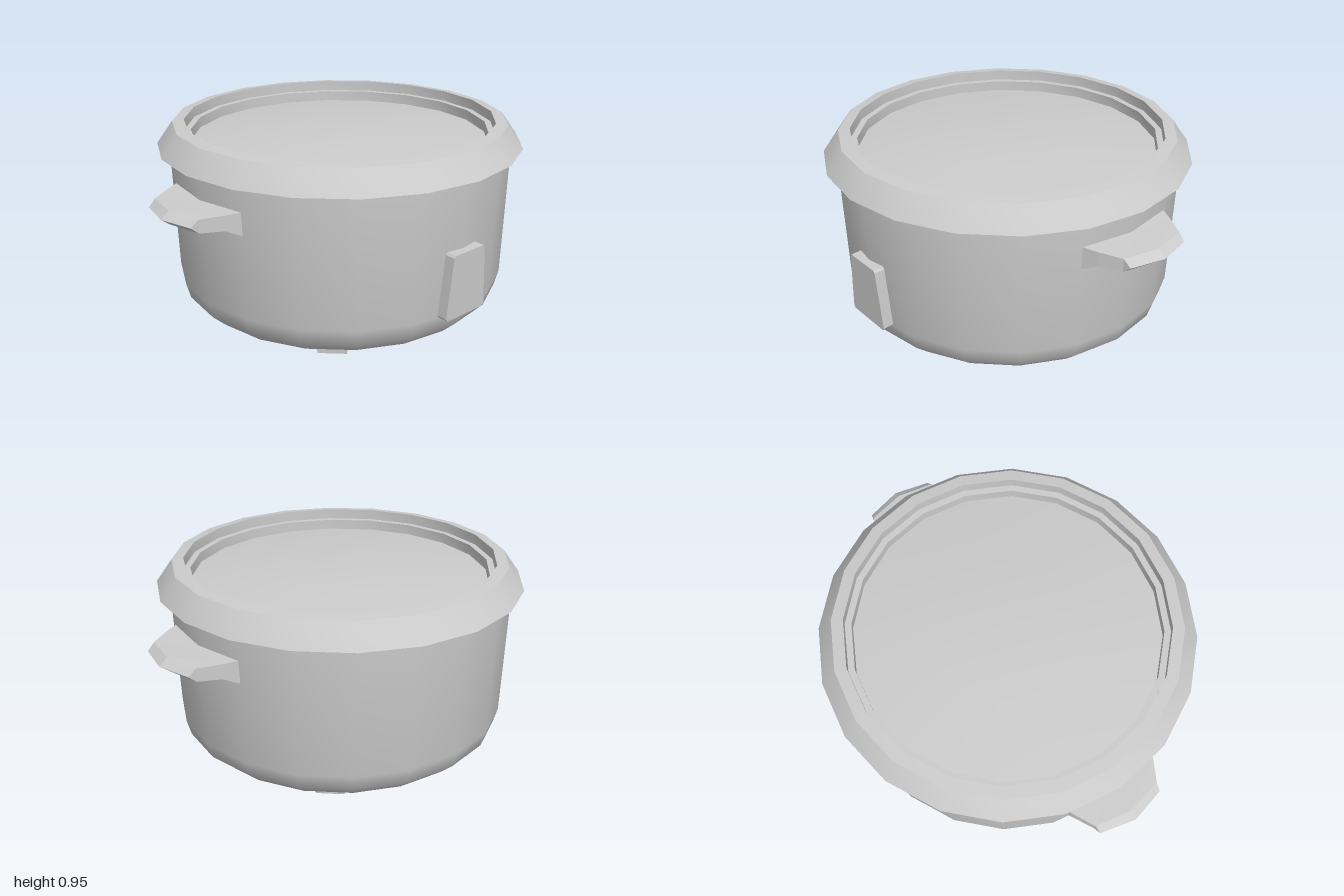
import * as THREE from 'three';
import { toCreasedNormals } from 'three/addons/utils/BufferGeometryUtils.js';

const SIDES = 20;
const grey = new THREE.MeshStandardMaterial({ color: 0xcccccc });

function addMesh(parent, name, geometry) {
  const mesh = new THREE.Mesh(geometry, grey);
  mesh.name = name;
  parent.add(mesh);
  return mesh;
}

// Turned part from [radius, height] pairs, listed from the bottom up
function turned(profile) {
  const points = profile.map(([r, y]) => new THREE.Vector2(r, y));
  return toCreasedNormals(new THREE.LatheGeometry(points, SIDES), 0.69);
}

// Solid grip: layers going outward, each a ring of six corners that bows at the middle
function handleGeometry() {
  const layers = [
    // end x, middle x, half width, bottom y, top y
    [0.76, 0.76, 0.25, 0.61, 0.72],
    [0.83, 0.83, 0.22, 0.645, 0.714],
    [0.925, 0.96, 0.17, 0.645, 0.706],
    [0.96, 1.0, 0.165, 0.675, 0.675],
  ];
  const rings = layers.map(([xe, xm, w, yb, yt]) => [
    [xe, yb, -w], [xm, yb, 0], [xe, yb, w],
    [xe, yt, w], [xm, yt, 0], [xe, yt, -w],
  ]);
  const positions = [];
  for (let l = 0; l < rings.length - 1; l++) {
    for (let i = 0; i < 6; i++) {
      const j = (i + 1) % 6;
      const a = rings[l][i], b = rings[l][j];
      const c = rings[l + 1][j], d = rings[l + 1][i];
      positions.push(...a, ...d, ...b, ...b, ...d, ...c);
    }
  }
  const geometry = new THREE.BufferGeometry();
  geometry.setAttribute('position', new THREE.Float32BufferAttribute(positions, 3));
  geometry.computeVertexNormals();
  return geometry;
}

// Block that narrows towards the ground
function footGeometry() {
  const geometry = new THREE.BoxGeometry(0.17, 0.085, 0.07).toNonIndexed();
  const p = geometry.attributes.position;
  for (let i = 0; i < p.count; i++) {
    if (p.getY(i) < 0) {
      p.setX(i, p.getX(i) * 0.77);
      p.setZ(i, p.getZ(i) * 0.86);
    }
  }
  geometry.computeVertexNormals();
  return geometry;
}

// Trapezoid plate with clipped corners
function panelGeometry() {
  const right = [[0.115, 0], [0.124, 0.012], [0.098, 0.295], [0.09, 0.305]];
  const left = right.map(([x, y]) => [-x, y]).reverse();
  const shape = new THREE.Shape([...right, ...left].map(([x, y]) => new THREE.Vector2(x, y)));
  return new THREE.ExtrudeGeometry(shape, { depth: 0.05, bevelEnabled: false });
}

export function createModel() {
  const model = new THREE.Group();
  model.name = 'cooker';

  // Pot with a rounded lower edge
  addMesh(model, 'body', turned([
    [0, 0.078], [0.705, 0.078], [0.772, 0.14], [0.792, 0.215], [0.81, 0.845],
  ]));

  // Lid: flared rim, stepped recess and shallow dome
  addMesh(model, 'lid', turned([
    [0, 0.838], [0.865, 0.838], [0.79, 0.943], [0.735, 0.95],
    [0.735, 0.9], [0.705, 0.9], [0.705, 0.85],
    [0.35, 0.893], [0, 0.9],
  ]));

  // Side handles
  const grip = handleGeometry();
  addMesh(model, 'leftHandle', grip);
  addMesh(model, 'rightHandle', grip).rotation.y = Math.PI;

  // Control panel, leaning with the wall
  const panel = addMesh(model, 'controlPanel', panelGeometry());
  panel.position.set(0, 0.215, 0.778);
  panel.rotation.x = 0.03;

  // Four feet set on the diagonals
  const foot = footGeometry();
  for (let i = 0; i < 4; i++) {
    const angle = Math.PI / 4 + (i * Math.PI) / 2;
    const mesh = addMesh(model, 'foot', foot);
    mesh.position.set(Math.sin(angle) * 0.566, 0.0425, Math.cos(angle) * 0.566);
    mesh.rotation.y = angle;
  }

  return model;
}
